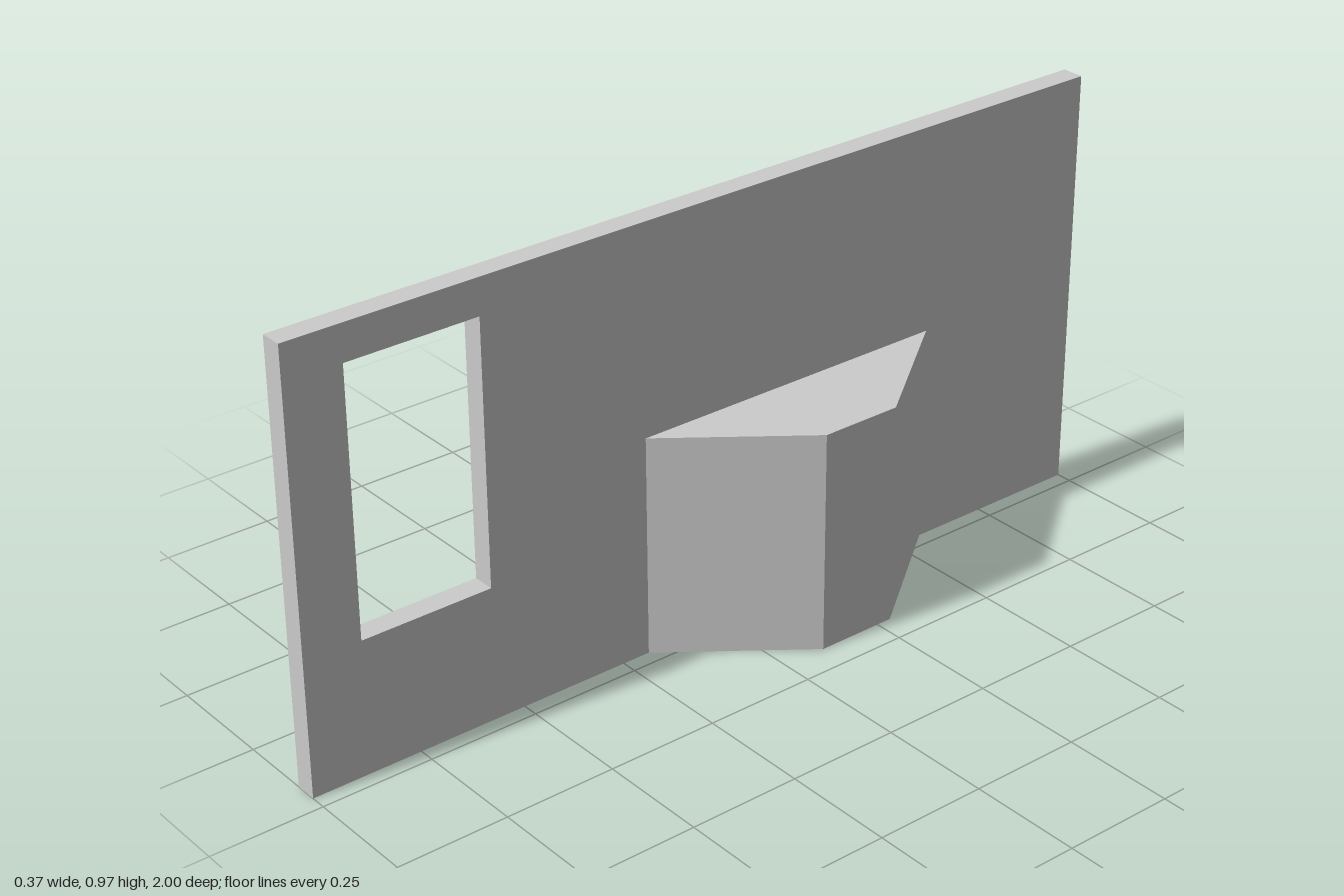
import * as THREE from 'three';

const material = new THREE.MeshStandardMaterial({ color: 0xcccccc, flatShading: true });
const CENTER_Z = -0.1925; // middle of the fireplace along the wall

const polygon = (points) => points.map(([x, y]) => new THREE.Vector2(x, y));
const rect = (x0, x1, y0, y1) => polygon([[x0, y0], [x1, y0], [x1, y1], [x0, y1]]);

function extrude(name, outline, depth, holes = []) {
  const shape = new THREE.Shape(outline);
  for (const hole of holes) shape.holes.push(new THREE.Path(hole));
  const geometry = new THREE.ExtrudeGeometry(shape, { depth, bevelEnabled: false });
  const mesh = new THREE.Mesh(geometry, material);
  mesh.name = name;
  return mesh;
}

// Upright panel: drawn in (-z, y), thickened from x0 to x1
function panel(name, x0, x1, outline, holes) {
  const mesh = extrude(name, outline, x1 - x0, holes);
  mesh.rotation.y = Math.PI / 2;
  mesh.position.x = x0;
  return mesh;
}

// Floor-plan piece: drawn in (x, z) about the fireplace middle, raised from y0 to y1
function planPiece(name, points, y0, y1) {
  const mesh = extrude(name, polygon(points), y1 - y0);
  mesh.rotation.x = -Math.PI / 2;
  mesh.position.set(0, y0, CENTER_Z);
  return mesh;
}

function box(name, x0, x1, y0, y1, z, width) {
  const mesh = new THREE.Mesh(new THREE.BoxGeometry(x1 - x0, y1 - y0, width), material);
  mesh.name = name;
  mesh.position.set((x0 + x1) / 2, (y0 + y1) / 2, z);
  return mesh;
}

export function createModel() {
  const group = new THREE.Group();
  group.name = 'fireplaceWall';

  const faceX = -0.098, wallX0 = -0.085, wallX1 = -0.035, backX = 0.183;
  const floorY = 0.013, lintelY = 0.31, topY = 0.5;
  const c = -CENTER_Z;

  // Wall with the window and a passage for the firebox
  group.add(panel('wall', wallX0, wallX1, rect(-1, 1, 0, 0.968), [
    rect(-0.87, -0.57, 0.302, 0.888),
    rect(c - 0.25, c + 0.25, floorY, lintelY),
  ]));

  // Thin surround with the fireplace opening
  group.add(panel('surround', faceX, wallX0, rect(c - 0.378, c + 0.378, 0, topY), [
    rect(c - 0.1975, c + 0.1975, floorY, lintelY),
  ]));

  // Tapered chimney block behind the wall: solid base, hollow firebox, solid top
  const block = [[wallX1, -0.378], [backX, -0.0925], [backX, 0.0925], [wallX1, 0.378]];
  const hollow = [
    [wallX0, -0.25], [wallX1, -0.25], ...block, [wallX1, 0.25], [wallX0, 0.25],
    [wallX0, 0.192], [0.172, 0.085], [0.172, -0.085], [wallX0, -0.192],
  ];
  group.add(planPiece('chimneyBase', block, 0, floorY));
  group.add(planPiece('fireboxWalls', hollow, floorY, lintelY));
  group.add(planPiece('chimneyTop', block, lintelY, topY));

  // Mantel shelf on two brackets
  group.add(box('mantelShelf', -0.183, faceX, 0.445, 0.463, -0.197, 0.615));
  for (const side of [-1, 1]) {
    group.add(box('mantelBracket', -0.166, faceX, 0.405, 0.445, CENTER_Z + side * 0.225, 0.04));
  }
  return group;
}
